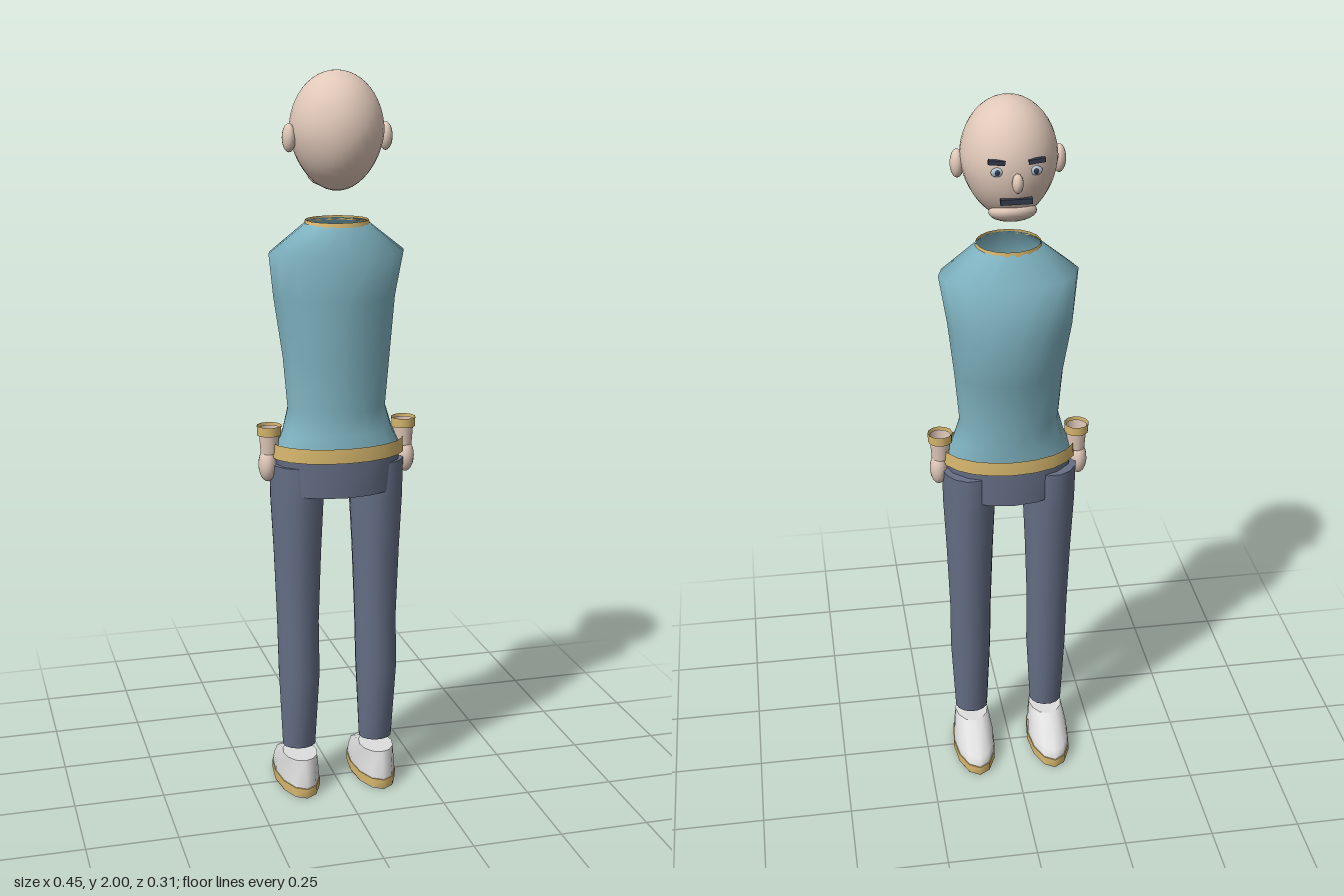
import * as THREE from 'three';

const mat = (name, color, side = THREE.FrontSide) => {
  const m = new THREE.MeshStandardMaterial({ color, side });
  m.name = name;
  return m;
};

// Smooth loft through elliptical rings listed bottom to top: [y, halfWidth, zFront, zBack]
function loft(rings, sides, capBottom = true, capTop = true) {
  const pos = [], idx = [];
  const addRing = ([y, rx, z0, z1]) => {
    const first = pos.length / 3;
    for (let i = 0; i < sides; i++) {
      const a = (i / sides) * Math.PI * 2;
      pos.push(Math.cos(a) * rx, y, (z0 + z1) / 2 + Math.sin(a) * (z1 - z0) / 2);
    }
    return first;
  };
  const starts = rings.map(addRing);
  for (let r = 0; r + 1 < starts.length; r++) {
    for (let i = 0; i < sides; i++) {
      const j = (i + 1) % sides, p = starts[r], q = starts[r + 1];
      idx.push(p + i, q + i, p + j, q + i, q + j, p + j);
    }
  }
  const cap = (ring, up) => {
    const s = addRing(ring), c = pos.length / 3;
    pos.push(0, ring[0], (ring[2] + ring[3]) / 2);
    for (let i = 0; i < sides; i++) {
      const j = (i + 1) % sides;
      if (up) idx.push(c, s + j, s + i);
      else idx.push(c, s + i, s + j);
    }
  };
  if (capBottom) cap(rings[0], false);
  if (capTop) cap(rings[rings.length - 1], true);
  const g = new THREE.BufferGeometry();
  g.setAttribute('position', new THREE.Float32BufferAttribute(pos, 3));
  g.setIndex(idx);
  g.computeVertexNormals();
  return g;
}

export function createModel() {
  const model = new THREE.Group();
  model.name = 'standingFigure';

  const skin = mat('skin', 0xe0c8b9);
  const innerSkin = mat('wristSkin', 0xe0c8b9, THREE.DoubleSide);
  const shirt = mat('tealShirt', 0x7fb3c1, THREE.DoubleSide);
  const trousers = mat('slateTrousers', 0x656f86);
  const gold = mat('goldTrim', 0xd8b86e, THREE.DoubleSide);
  const shoe = mat('whiteShoe', 0xdedede);
  const dark = mat('darkHair', 0x323a4c);
  const eyeColor = mat('paleEye', 0xb4c8d8);

  const add = (name, geometry, material, x = 0, y = 0, z = 0, parent = model) => {
    const m = new THREE.Mesh(geometry, material);
    m.name = name;
    m.position.set(x, y, z);
    parent.add(m);
    return m;
  };
  const ellipsoid = (rx, ry, rz, w = 16, h = 12) =>
    new THREE.SphereGeometry(1, w, h).scale(rx, ry, rz);

  // Head: an egg, narrower towards the chin
  const head = new THREE.Group();
  head.name = 'head';
  model.add(head);
  const skull = ellipsoid(0.124, 0.155, 0.137, 32, 24);
  const p = skull.attributes.position;
  for (let i = 0; i < p.count; i++) {
    const t = Math.max(0, -p.getY(i) / 0.155);
    p.setX(i, p.getX(i) * (1 - 0.12 * t));
  }
  skull.computeVertexNormals();
  add('skull', skull, skin, 0, 1.845, 0.02, head);
  add('chin', ellipsoid(0.062, 0.027, 0.05), skin, 0, 1.724, -0.045, head).rotation.x = 0.35;
  add('nose', ellipsoid(0.014, 0.025, 0.018), skin, 0, 1.825, -0.125, head);
  add('moustache', new THREE.BoxGeometry(0.08, 0.014, 0.014), dark, 0, 1.772, -0.104, head);

  for (const s of [-1, 1]) {
    add('ear', ellipsoid(0.018, 0.037, 0.025), skin, s * 0.13, 1.83, 0.03, head);
    add('eye', ellipsoid(0.016, 0.012, 0.007), eyeColor, s * 0.048, 1.85, -0.106, head);
    add('pupil', ellipsoid(0.006, 0.007, 0.004, 10, 8), dark, s * 0.048, 1.85, -0.112, head);
    add('eyebrow', new THREE.BoxGeometry(0.042, 0.011, 0.012), dark, s * 0.05, 1.876, -0.109, head)
      .rotation.z = s * 0.12;
  }

  // Torso, open at the neck
  add('torso', loft([
    [1.0, 0.175, -0.08, 0.142], [1.05, 0.153, -0.08, 0.132], [1.11, 0.136, -0.086, 0.122],
    [1.25, 0.148, -0.096, 0.13], [1.41, 0.167, -0.152, 0.138], [1.53, 0.185, -0.1, 0.142],
    [1.61, 0.083, -0.053, 0.103],
  ], 16, false, false), shirt);
  add('collar', loft([[1.603, 0.088, -0.056, 0.107], [1.615, 0.085, -0.055, 0.105]], 18, false, false), gold);
  add('belt', loft([[0.98, 0.185, -0.09, 0.15], [1.02, 0.183, -0.089, 0.149]], 20, true, false), gold);
  add('hips', loft([[0.88, 0.165, -0.083, 0.138], [0.985, 0.177, -0.085, 0.141]], 16), trousers);

  // Legs, shoes and hands
  const legShape = loft([
    [0.13, 0.047, -0.015, 0.072], [0.35, 0.058, -0.031, 0.097], [0.5, 0.059, -0.042, 0.085],
    [0.7, 0.066, -0.055, 0.094], [0.85, 0.073, -0.07, 0.105], [0.96, 0.075, -0.074, 0.107],
  ], 14);
  const upperShape = loft([
    [0.028, 0.059, -0.153, 0.126], [0.055, 0.058, -0.142, 0.12], [0.107, 0.048, -0.03, 0.105],
  ], 12);
  const soleShape = loft([[0.004, 0.061, -0.155, 0.128], [0.03, 0.061, -0.156, 0.13]], 12, false, true);
  const treadShape = loft([[0, 0.059, -0.152, 0.125], [0.005, 0.06, -0.154, 0.127]], 12);
  for (const s of [-1, 1]) {
    add('leg', legShape, trousers, s * 0.112);
    const foot = new THREE.Group();
    foot.name = 'foot';
    foot.position.x = s * 0.112;
    model.add(foot);
    add('shoeUpper', upperShape, shoe, 0, 0, 0, foot);
    add('soleBand', soleShape, gold, 0, 0, 0, foot);
    add('tread', treadShape, shoe, 0, 0, 0, foot);

    const hand = new THREE.Group();
    hand.name = 'hand';
    hand.position.set(s * 0.189, 0, 0.024);
    model.add(hand);
    add('wrist', new THREE.CylinderGeometry(0.029, 0.024, 0.07, 12, 1, true), innerSkin, 0, 1.025, 0, hand);
    add('palm', ellipsoid(0.024, 0.046, 0.031), skin, s * 0.006, 0.957, 0, hand);
    add('cuff', new THREE.CylinderGeometry(0.034, 0.033, 0.026, 12, 1, true), gold, 0, 1.054, 0, hand);
  }
  return model;
}
